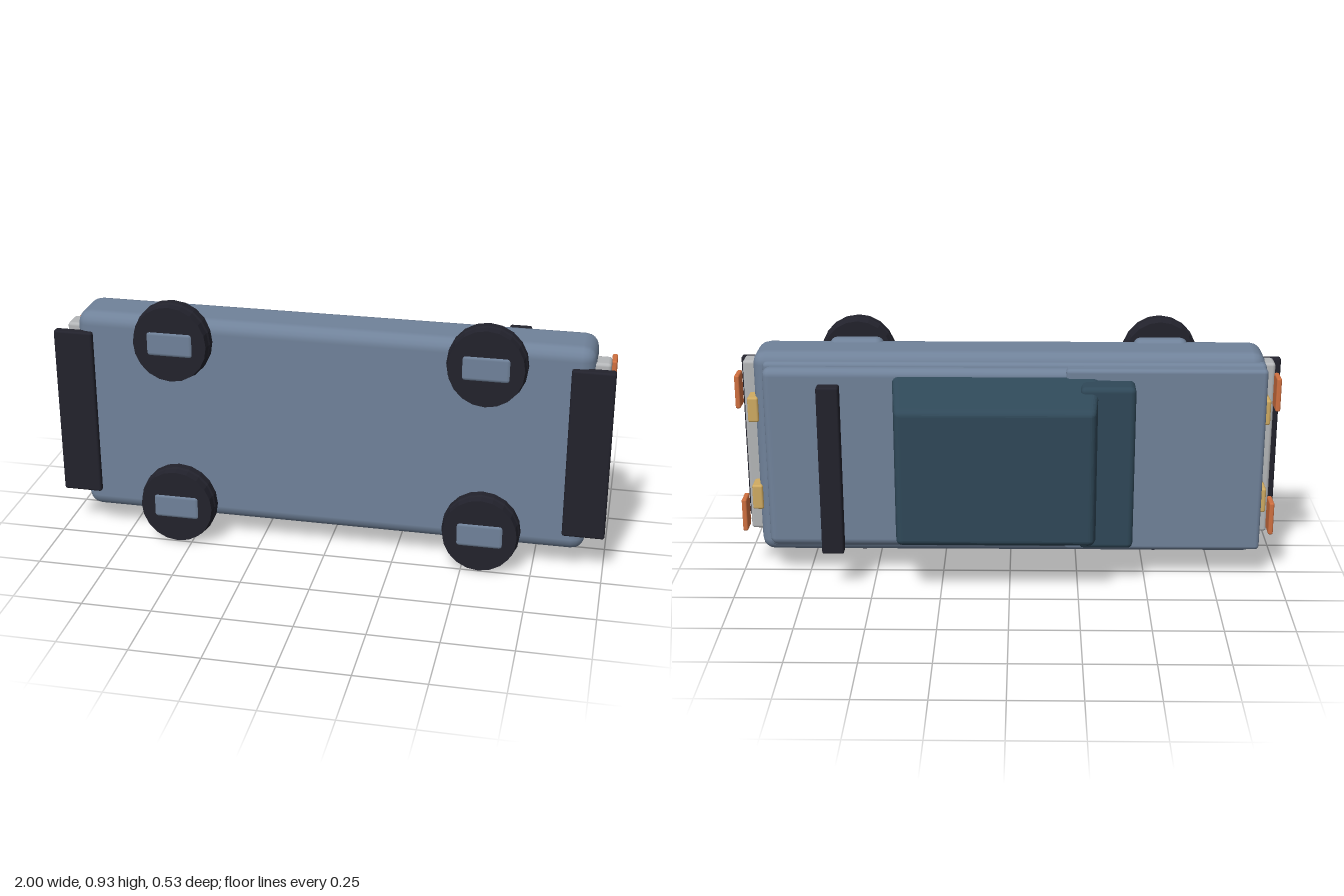
import * as THREE from 'three';
import { RoundedBoxGeometry } from 'three/addons/geometries/RoundedBoxGeometry.js';

const mat = (name, color) => {
  const m = new THREE.MeshStandardMaterial({ color });
  m.name = name;
  return m;
};

export function createModel() {
  const car = new THREE.Group();
  car.name = 'car';
  const paint = mat('bluePaint', 0x70829a);
  const glass = mat('darkGlass', 0x2f4858);
  const rubber = mat('blackRubber', 0x22222c);
  const silver = mat('silver', 0xb4b6b8);
  const amber = mat('yellowLamp', 0xd0ab62);
  const orange = mat('orangeLamp', 0xd07040);

  const add = (name, geo, material) => {
    const mesh = new THREE.Mesh(geo, material);
    mesh.name = name;
    car.add(mesh);
    return mesh;
  };
  // Rounded box given by its limits along x, y and z
  const box = (name, material, [x0, x1], [y0, y1], [z0, z1], r = 0.008) => {
    const geo = new RoundedBoxGeometry(x1 - x0, y1 - y0, z1 - z0, 2, r);
    geo.translate((x0 + x1) / 2, (y0 + y1) / 2, (z0 + z1) / 2);
    return add(name, geo, material);
  };
  const MID = 0.472; // mid line of the car's width
  const both = (y0, y1) => [[y0, y1], [2 * MID - y1, 2 * MID - y0]];

  // Body: the roof points to -z and the wheels to +z
  box('body', paint, [-0.92, 0.93], [0.085, 0.86], [-0.015, 0.19], 0.048);
  box('beltLine', paint, [-0.92, 0.89], [0.115, 0.83], [-0.03, 0.04], 0.018);
  box('hood', paint, [-0.25, 0.89], [0.13, 0.815], [-0.065, 0.03], 0.03);
  box('rearDeck', paint, [-0.92, -0.2], [0.125, 0.82], [-0.072, 0.03], 0.015);

  // Cabin narrowing towards the roof
  const cabin = new RoundedBoxGeometry(0.74, 0.65, 0.225, 3, 0.022);
  const p = cabin.attributes.position;
  for (let i = 0; i < p.count; i++) {
    const t = 0.5 - p.getZ(i) / 0.225; // 0 at the base, 1 at the roof
    p.setX(i, p.getX(i) * (1.01 - 0.06 * t));
    p.setY(i, p.getY(i) * (1 - 0.23 * t));
  }
  cabin.computeVertexNormals();
  cabin.translate(0.05, MID, -0.1515);
  add('cabin', cabin, glass);
  box('rearWindow', glass, [-0.447, -0.25], [0.165, 0.78], [-0.16, -0.04], 0.02);

  // Long bar above the hood
  box('hoodBar', rubber, [0.6, 0.68], [0.155, 0.788], [-0.195, -0.146]);

  // Bumpers and lower plates
  box('frontPlate', rubber, [0.85, 1], [0.157, 0.79], [0.173, 0.211]);
  box('rearPlate', rubber, [-1, -0.857], [0.157, 0.79], [0.173, 0.208]);
  box('frontBumper', silver, [0.92, 0.98], [0.14, 0.803], [0.08, 0.158], 0.012);
  box('rearBumper', silver, [-0.965, -0.9], [0.14, 0.803], [0.07, 0.152], 0.012);

  // Lamps
  for (const y of both(0.595, 0.69)) {
    box('frontLamp', amber, [0.915, 0.955], y, [-0.01, 0.068]);
    box('rearLamp', amber, [-0.943, -0.905], y, [-0.02, 0.068]);
  }
  for (const y of both(0.65, 0.775)) {
    box('frontIndicator', orange, [0.977, 0.996], y, [-0.015, 0.06], 0.006);
    box('rearIndicator', orange, [-0.975, -0.957], y, [-0.028, 0.052], 0.006);
  }

  // Wheels with rectangular hubs
  const profile = [[0, 0.174], [0.136, 0.174], [0.143, 0.195], [0.147, 0.2], [0.147, 0.228],
    [0.143, 0.235], [0.139, 0.261], [0, 0.261]].map(([r, z]) => new THREE.Vector2(r, z));
  for (const x of [-0.55, 0.565]) {
    for (const y of [0.153, 2 * MID - 0.153]) {
      const tyre = new THREE.LatheGeometry(profile, 20).toNonIndexed();
      tyre.rotateX(Math.PI / 2);
      tyre.scale(0.955, 1, 1);
      tyre.translate(x, y, 0);
      tyre.computeVertexNormals();
      add('tyre', tyre, rubber);
      box('hub', paint, [x - 0.086, x + 0.086], [y - 0.048, y + 0.048], [0.2, 0.265], 0.015);
      box('wheelMount', paint, [x - 0.1, x + 0.1], [y - 0.082, y + 0.082], [0.12, 0.19], 0.03);
    }
  }
  return car;
}
